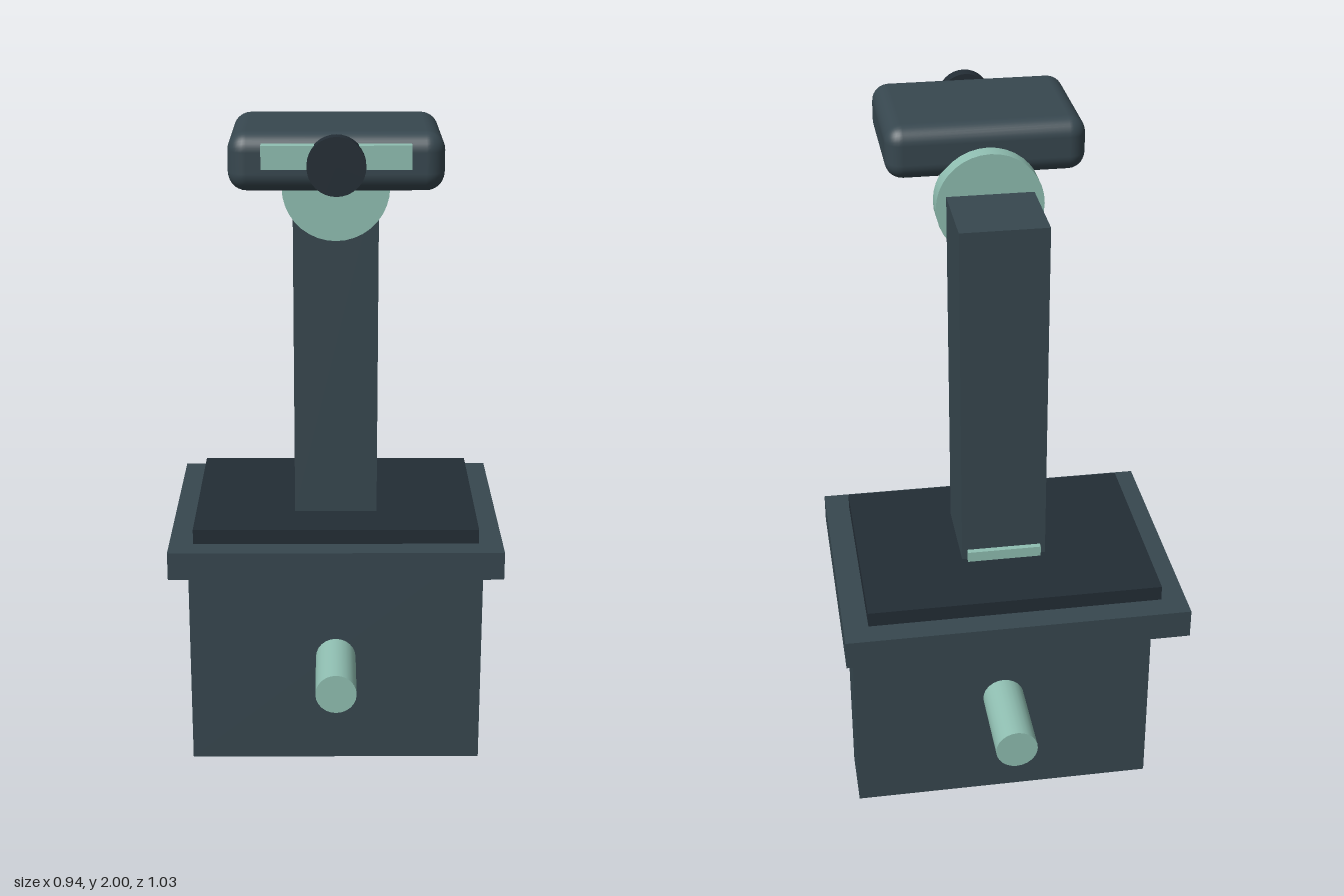
import * as THREE from 'three';
import { RoundedBoxGeometry } from 'three/addons/geometries/RoundedBoxGeometry.js';

export function createModel() {
  const model = new THREE.Group();
  model.name = 'pedestalScanner';

  const material = (name, color) => {
    const m = new THREE.MeshStandardMaterial({ color });
    m.name = name;
    return m;
  };
  const slate = material('slate', 0x37474f);
  const dark = material('dark slate', 0x232d35);
  const mint = material('mint', 0x90bfb2);

  const add = (name, geometry, mat, x, y, z) => {
    const mesh = new THREE.Mesh(geometry, mat);
    mesh.name = name;
    mesh.position.set(x, y, z);
    model.add(mesh);
    return mesh;
  };
  // Box given by half width and its y and z ranges, centred on x = 0
  const box = (name, mat, hx, y0, y1, z0, z1) =>
    add(name, new THREE.BoxGeometry(2 * hx, y1 - y0, z1 - z0), mat, 0, (y0 + y1) / 2, (z0 + z1) / 2);
  // Cylinder lying along z
  const rod = (name, mat, r, y, z0, z1, sides) =>
    add(name, new THREE.CylinderGeometry(r, r, z1 - z0, sides).rotateX(Math.PI / 2), mat, 0, y, (z0 + z1) / 2);

  // Stand
  box('basePlate', slate, 0.439, 0, 0.715, -0.233, -0.048);
  rod('axle', mint, 0.06, 0.34, -0.477, 0.198, 24);
  box('tableTop', slate, 0.472, 0.715, 0.796, -0.513, 0.23);
  box('tablePad', dark, 0.404, 0.796, 0.838, -0.445, 0.161);

  // Column with a small strip at its rear foot
  box('column', slate, 0.118, 0.838, 1.827, -0.227, 0.012);
  box('rearStrip', mint, 0.103, 0.838, 0.868, -0.243, -0.227);

  // Pivot disc and head
  rod('pivotDisc', mint, 0.146, 1.793, 0.012, 0.074, 36);
  add('head', new RoundedBoxGeometry(0.538, 0.147, 0.405, 4, 0.047), slate, 0, 1.9265, 0.2625);
  box('lightBar', mint, 0.185, 1.916, 1.975, 0.45, 0.491);
  rod('lens', dark, 0.073, 1.927, 0.473, 0.513, 32);

  return model;
}
